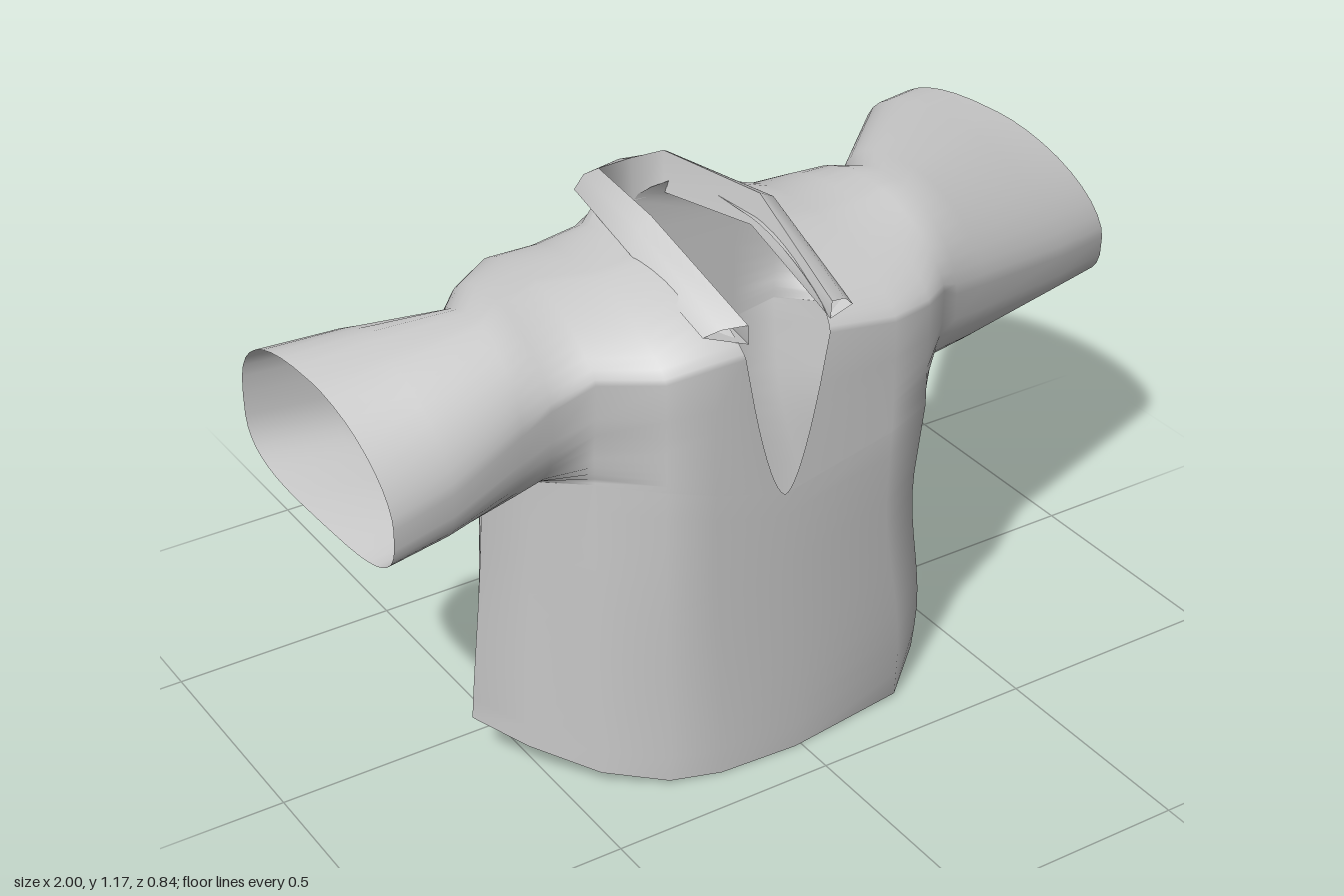
import * as THREE from 'three';
import { mergeGeometries, mergeVertices } from 'three/addons/utils/BufferGeometryUtils.js';

const MID = -0.055; // x of the neck opening
const { clamp, lerp, smoothstep } = THREE.MathUtils;

// Surface through columns of points (all the same length)
function loft(columns) {
  const n = columns[0].length, pos = [], idx = [];
  columns.forEach(c => c.forEach(p => pos.push(...p)));
  for (let i = 0; i < columns.length - 1; i++) {
    for (let j = 0; j < n - 1; j++) {
      const a = i * n + j, b = a + n;
      idx.push(a, b, b + 1, a, b + 1, a + 1);
    }
  }
  const g = new THREE.BufferGeometry();
  g.setAttribute('position', new THREE.Float32BufferAttribute(pos, 3));
  g.setIndex(idx);
  return g;
}

// Linear interpolation along [t, value] pairs
function along(pairs, t) {
  for (let i = 1; i < pairs.length; i++) {
    const [t0, v0] = pairs[i - 1], [t1, v1] = pairs[i];
    if (t <= t1) return lerp(v0, v1, clamp((t - t0) / (t1 - t0), 0, 1));
  }
  return pairs[pairs.length - 1][1];
}

// Ring from bottom front, over the shoulder, to bottom back.
// open = 0 closes it into a sleeve, open = 1 leaves straight front and back panels.
function ring([xBack, xFront, zBack, zFront, yBot, yTop, open, tilt = 0], neckSide = 0) {
  const pts = [], steps = 40;
  const zc = (zBack + zFront) / 2, rz = (zFront - zBack) / 2;
  const yc = yTop - 0.17 + 0.045 * open;
  for (let k = 0; k <= steps; k++) {
    const a = -Math.PI / 2 + (k / steps) * Math.PI * 2;
    const c = k % steps ? Math.cos(a) : 0, s = Math.sin(a);
    const front = k <= steps / 2;
    // sloping shoulders above, fuller underarm below
    const upper = front ? 1.1 + 0.2 * open : neckSide ? 0.3 : 0.78;
    const p = s > 0 ? upper : 0.6;
    let f = Math.pow(Math.abs(c), p);
    if (s < 0) f = Math.max(f, open);
    if (!front) f = -f;
    const z = zc + rz * f;
    const y = yc + Math.pow(Math.abs(s), p) * (s > 0 ? yTop - yc : yBot - yc) - tilt * f;
    let x = lerp(xBack, xFront, (f + 1) / 2);
    // neckline: V at the front, wide on top, closed at the back
    if (neckSide) {
      const v = Math.pow(clamp((y - yBot) / 0.38, 0, 1), 0.6);
      x += neckSide * 0.105 * v * clamp((z + 0.15) / 0.02, 0, 1);
    }
    pts.push([x, y, z]);
  }
  return pts;
}

// Stations from cuff to neck: xBack, xFront, zBack, zFront, yBottom, yTop, open, tilt
const rightStations = [
  [-1.0, -0.89, -0.02, 0.36, 0.75, 1.055, 0, 0.07],
  [-0.82, -0.76, -0.015, 0.355, 0.75, 1.065, 0, 0.05],
  [-0.6, -0.6, 0.0, 0.335, 0.73, 1.08, 0],
  [-0.53, -0.53, -0.075, 0.325, 0.73, 1.083, 0.5],
  [-0.43, -0.43, -0.14, 0.32, 0.73, 1.085, 0.95],
  [-0.32, -0.32, -0.145, 0.395, 0.72, 1.085, 1],
  [-0.22, -0.22, -0.147, 0.415, 0.69, 1.1, 1],
];
const leftStations = [
  [0.8, 1.0, -0.42, 0.1, 0.7, 1.005, 0, 0.055],
  [0.7, 0.83, -0.385, 0.167, 0.71, 1.025, 0, 0.045],
  [0.47, 0.52, -0.155, 0.289, 0.725, 1.07, 0, 0.015],
  [0.42, 0.42, -0.1, 0.328, 0.73, 1.08, 0],
  [0.37, 0.37, -0.135, 0.35, 0.73, 1.08, 0.7],
  [0.3, 0.3, -0.152, 0.395, 0.72, 1.075, 1],
  [0.2, 0.2, -0.155, 0.418, 0.7, 1.078, 1],
];
const neckStation = [MID, MID, -0.152, 0.415, 0.64, 1.1, 1];

const hemFront = [[0, 0.1], [0.11, 0.25], [0.22, 0.35], [0.33, 0.4], [0.5, 0.41],
  [0.7, 0.41], [0.83, 0.36], [0.91, 0.25], [1, 0.1]];
const hemBack = [[0, 0.1], [0.16, -0.145], [0.84, -0.145], [1, 0.1]];

// Torso column from the hem up to a point of the seam below the arms
function torsoColumn([x, y, z], isFront) {
  const t = clamp((x + 0.6) / 1.02, 0, 1);
  const hx = -0.61 + 1.115 * t;
  const hz = along(isFront ? hemFront : hemBack, t);
  const hy = isFront
    ? 0.12 * Math.pow(clamp((0.41 - hz) / 0.31, 0, 1), 1.3)
    : lerp(0.095, 0.12, clamp((hz + 0.145) / 0.245, 0, 1));
  const col = [];
  for (let j = 0; j <= 12; j++) {
    const v = j / 12, py = lerp(hy, y, v);
    const k = j === 0 ? 0 : smoothstep(py, 0.1, 0.56);
    col.push([lerp(hx, x, k), py, lerp(hz, z, v)]);
  }
  return col;
}

export function createModel() {
  const group = new THREE.Group();
  const material = new THREE.MeshStandardMaterial({ color: 0xcccccc, side: THREE.DoubleSide });
  const add = (name, geometry, parent = group) => {
    geometry.computeVertexNormals();
    const mesh = new THREE.Mesh(geometry, material);
    mesh.name = name;
    parent.add(mesh);
  };

  // Sleeves with shoulders, each running to the neckline
  const right = rightStations.map(s => ring(s));
  const left = leftStations.map(s => ring(s)).reverse();
  const rightHalf = loft([...right, ring(neckStation, -1)]);
  const leftHalf = loft([ring(neckStation, 1), ...left]);

  // Torso hanging from the lower edge of the shoulders
  const seam = [...right.slice(2), ring(neckStation), ...left.slice(0, 4)];
  const torso = loft([
    ...seam.map(r => torsoColumn(r[0], true)),
    ...seam.map(r => torsoColumn(r[r.length - 1], false)).reverse(),
  ]);
  add('shirtBody', mergeVertices(mergeGeometries([rightHalf, leftHalf, torso]), 1e-4));

  // Folded collar: neck edge, fold, outer edge
  const collar = [
    [[-0.14, 1.0, 0.405], [-0.145, 1.045, 0.41], [-0.235, 1.035, 0.39]],
    [[-0.165, 1.08, 0.12], [-0.185, 1.17, 0.13], [-0.235, 1.1, 0.13]],
    [[-0.13, 1.05, -0.148], [-0.135, 1.145, -0.15], [-0.17, 1.09, -0.19]],
    [[MID, 1.05, -0.15], [MID, 1.145, -0.155], [MID, 1.08, -0.235]],
    [[0.02, 1.05, -0.148], [0.02, 1.145, -0.15], [0.06, 1.09, -0.19]],
    [[0.055, 1.08, 0.12], [0.075, 1.145, 0.12], [0.13, 1.095, 0.12]],
    [[0.05, 1.0, 0.405], [0.05, 1.04, 0.41], [0.11, 1.01, 0.395]],
  ];
  const collarGroup = new THREE.Group();
  collarGroup.name = 'collar';
  group.add(collarGroup);
  // the fall bulges a little between fold and outer edge
  const bulge = (p, q) => [lerp(p[0], q[0], 0.6), lerp(p[1], q[1], 0.4) + 0.004, lerp(p[2], q[2], 0.6)];
  add('collarStand', loft(collar.map(([base, fold]) => [base, fold])), collarGroup);
  add('collarFall', loft(collar.map(([, fold, outer]) => [fold, bulge(fold, outer), outer])), collarGroup);
  add('collarUnderside', loft(collar.map(([base, , outer]) => [outer, base])), collarGroup);

  return group;
}
